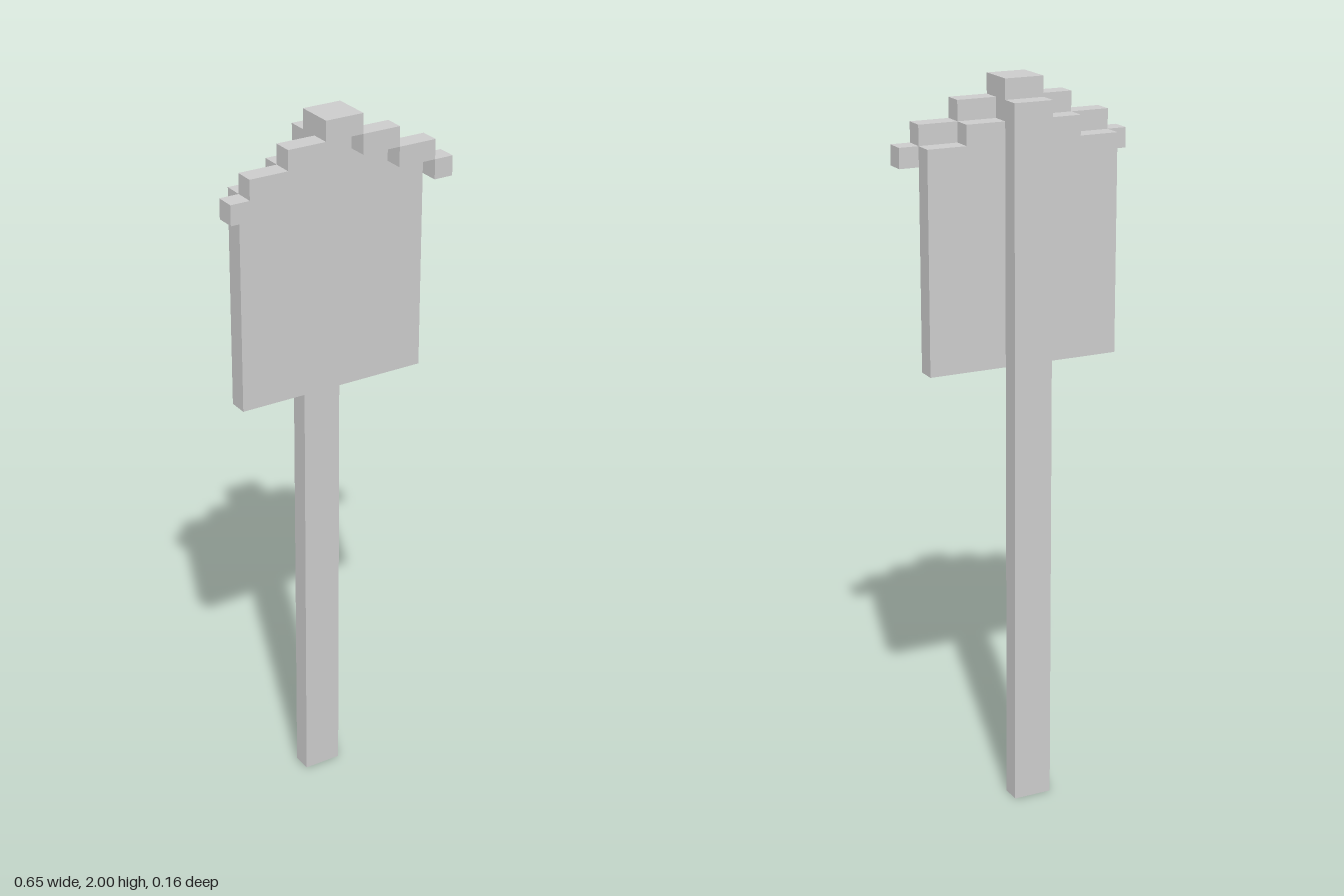
import * as THREE from 'three';

const U = 2 / 37; // one block unit

export function createModel() {
  const model = new THREE.Group();
  model.name = 'signPost';
  const material = new THREE.MeshStandardMaterial({ color: 0xcccccc, flatShading: true });

  // Box given by its min and max corners in block units
  const block = (name, [x0, y0, z0], [x1, y1, z1]) => {
    const geometry = new THREE.BoxGeometry((x1 - x0) * U, (y1 - y0) * U, (z1 - z0) * U);
    const mesh = new THREE.Mesh(geometry, material);
    mesh.position.set((x0 + x1) / 2 * U, (y0 + y1) / 2 * U, (z0 + z1) / 2 * U);
    mesh.name = name;
    model.add(mesh);
  };

  // Post behind the board
  block('post', [-1, 0, -1.5], [1, 36, -0.5]);

  // Board with a stepped gable top
  const half = [[5, 23], [5, 34], [3, 34], [3, 35], [1, 35], [1, 36]];
  const outline = [...half, ...half.map(([x, y]) => [-x, y]).reverse()];
  const shape = new THREE.Shape(outline.map(([x, y]) => new THREE.Vector2(x * U, y * U)));
  const boardGeometry = new THREE.ExtrudeGeometry(shape, { depth: U, bevelEnabled: false });
  boardGeometry.translate(0, 0, -0.5 * U);
  const board = new THREE.Mesh(boardGeometry, material);
  board.name = 'board';
  model.add(board);

  // Ridge cap over the board and the trim
  block('ridgeCap', [-1, 36, -0.5], [1, 37, 1.5]);

  // Stepped roof trim in front of the board, mirrored
  const steps = [[1, 3, 35], [3, 5, 34], [5, 6, 33]];
  steps.forEach(([a, b, y], i) => {
    block(`leftRoofStep${i + 1}`, [a, y, 0.5], [b, y + 1, 1.5]);
    block(`rightRoofStep${i + 1}`, [-b, y, 0.5], [-a, y + 1, 1.5]);
  });

  return model;
}
